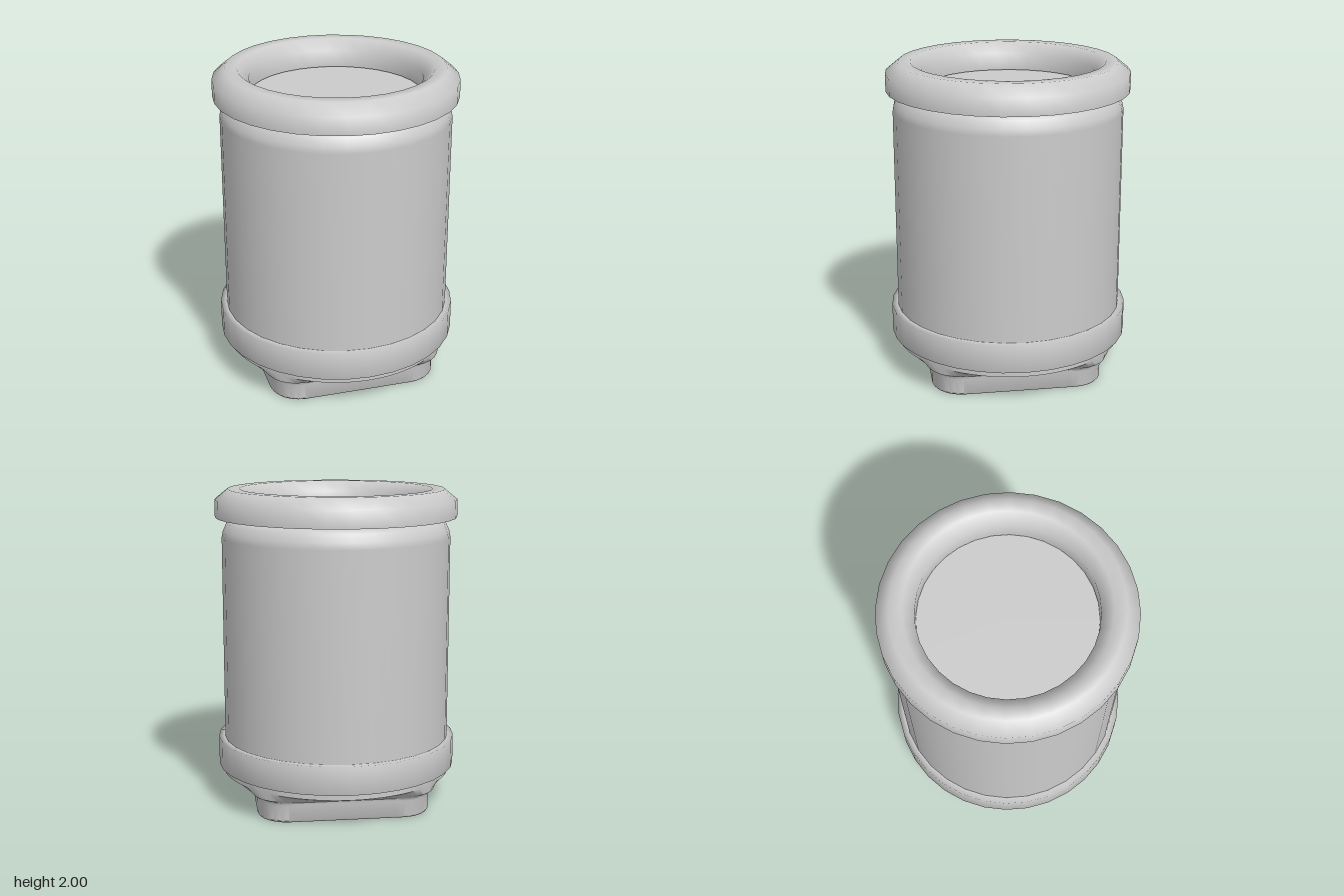
import * as THREE from 'three';
import { toCreasedNormals } from 'three/addons/utils/BufferGeometryUtils.js';

const SIDES = 32;
const material = new THREE.MeshStandardMaterial({ color: 0xcccccc, side: THREE.DoubleSide });

// Surface of revolution from [radius, y] pairs
function lathe(name, points) {
  const geometry = new THREE.LatheGeometry(points.map(([r, y]) => new THREE.Vector2(r, y)), SIDES);
  const mesh = new THREE.Mesh(geometry, material);
  mesh.name = name;
  return mesh;
}

// Distance from the centre to a rounded square's edge, at a given angle
function squareRadius(angle, half, corner) {
  const quarter = Math.PI / 2;
  const a = Math.abs(((angle + quarter / 2) % quarter) - quarter / 2);
  const d = half - corner;
  if (half * Math.tan(a) <= d) return half / Math.cos(a);
  const phi = a - Math.PI / 4;
  return Math.SQRT2 * d * Math.cos(phi) + Math.sqrt(corner ** 2 - 2 * (d * Math.sin(phi)) ** 2);
}

// Loft through sections of { y, size, corner }; without a corner the section is a circle
function loft(name, sections) {
  const n = 96, positions = [], indices = [];
  sections.forEach(({ y, size, corner }, j) => {
    for (let i = 0; i < n; i++) {
      const t = (i / n) * Math.PI * 2;
      const r = corner ? squareRadius(t, size, corner) : size;
      positions.push(r * Math.cos(t), y, r * Math.sin(t));
      if (j === sections.length - 1) continue;
      const a = j * n + i, b = j * n + (i + 1) % n;
      indices.push(a, a + n, b + n, a, b + n, b);
    }
  });
  const geometry = new THREE.BufferGeometry();
  geometry.setAttribute('position', new THREE.Float32BufferAttribute(positions, 3));
  geometry.setIndex(indices);
  const mesh = new THREE.Mesh(toCreasedNormals(geometry, 0.7), material);
  mesh.name = name;
  return mesh;
}

export function createModel() {
  const model = new THREE.Group();
  model.name = 'canister';

  // Hollow body with a rounded shoulder and a flat lid
  model.add(lathe('body', [
    [0.72, 0.4], [0.72, 1.7], [0.712, 1.74], [0.69, 1.79], [0.66, 1.81], [0.62, 1.818],
  ]));
  model.add(lathe('lid', [[0.62, 1.818], [0, 1.818]]));

  // Rounded rim on top
  model.add(lathe('topRim', [
    [0.76, 1.826], [0.76, 1.935], [0.68, 2], [0.605, 2], [0.535, 1.935], [0.535, 1.826],
  ]));
  model.add(lathe('topRimUnderside', [[0.535, 1.826], [0.76, 1.826]]));

  // Band around the foot of the body
  model.add(lathe('lowerBand', [[0.72, 0.235], [0.76, 0.235], [0.76, 0.415], [0.72, 0.415]]));

  // Hollow square foot that widens into a round flange: down the inside, up the outside
  model.add(loft('foot', [
    { y: 0.235, size: 0.705 },
    { y: 0.215, size: 0.7 },
    { y: 0.15, size: 0.52, corner: 0.16 },
    { y: 0.12, size: 0.51, corner: 0.16 },
    { y: 0, size: 0.51, corner: 0.16 },
    { y: 0, size: 0.53, corner: 0.18 },
    { y: 0.012, size: 0.54, corner: 0.19 },
    { y: 0.11, size: 0.54, corner: 0.19 },
    { y: 0.128, size: 0.545, corner: 0.19 },
    { y: 0.145, size: 0.57, corner: 0.2 },
    { y: 0.195, size: 0.73 },
    { y: 0.235, size: 0.73 },
    { y: 0.235, size: 0.705 },
  ]));

  return model;
}
